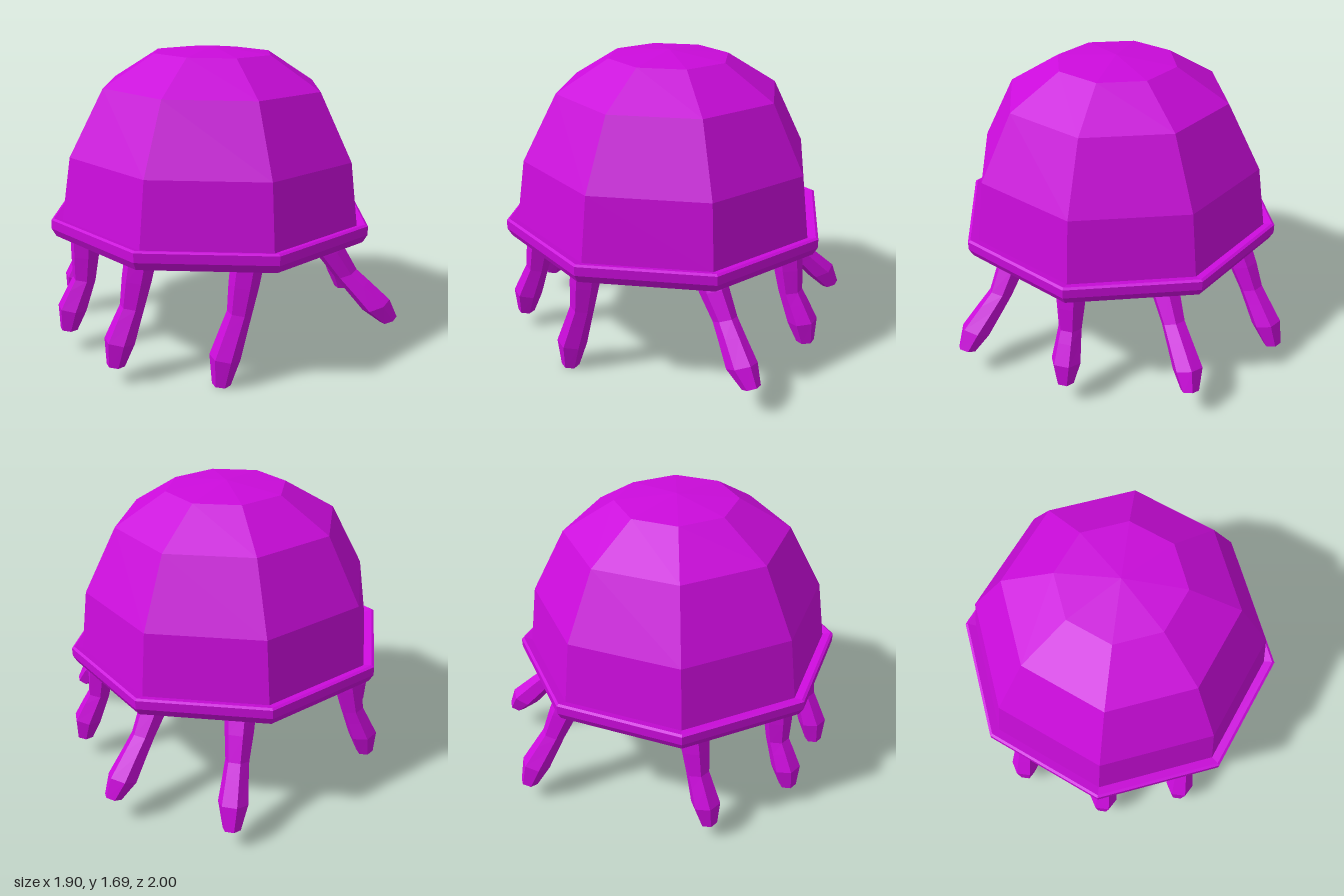
import * as THREE from 'three';

const SIDES = 6;
const RADII = [0.088, 0.08, 0.066, 0.072, 0.083, 0.05];

// Each tentacle: root, knee, bulge and tip as [x, y, z]
const TENTACLES = {
  tentacleFront: [[-0.09, 0.7, 0.79], [-0.135, 0.4, 0.79], [-0.215, 0.16, 0.79], [-0.235, 0.005, 0.79]],
  tentacleFrontLeft: [[0.45, 0.7, 0.5], [0.62, 0.43, 0.57], [0.77, 0.25, 0.67], [0.84, 0.16, 0.7]],
  tentacleLeft: [[0.75, 0.7, 0.085], [0.79, 0.42, 0.085], [0.87, 0.25, 0.085], [0.895, 0.125, 0.085]],
  tentacleBackLeft: [[0.45, 0.7, -0.31], [0.6, 0.43, -0.44], [0.74, 0.25, -0.56], [0.8, 0.155, -0.59]],
  tentacleBack: [[0.1, 0.7, -0.67], [0.15, 0.43, -0.79], [0.2, 0.24, -0.9], [0.22, 0.11, -0.95]],
  tentacleBackRight: [[-0.58, 0.7, -0.41], [-0.64, 0.41, -0.43], [-0.715, 0.23, -0.44], [-0.74, 0.095, -0.44]],
  tentacleRight: [[-0.77, 0.7, 0.085], [-0.79, 0.42, 0.085], [-0.865, 0.25, 0.085], [-0.89, 0.125, 0.085]],
  tentacleFrontRight: [[-0.58, 0.7, 0.53], [-0.64, 0.41, 0.54], [-0.715, 0.23, 0.55], [-0.74, 0.095, 0.55]],
};

// Loft of hexagonal rings along the tentacle, closed by a flat tip
function tentacleGeometry(points) {
  const [root, knee, bulge, tip] = points.map((p) => new THREE.Vector3(...p));
  const path = [
    root, root.clone().lerp(knee, 0.5), knee,
    knee.clone().lerp(bulge, 0.4), bulge, tip,
  ];
  const down = new THREE.Vector3(0, -1, 0);
  const positions = [];
  const indices = [];
  path.forEach((p, i) => {
    const tangent = path[Math.min(i + 1, path.length - 1)].clone()
      .sub(path[Math.max(i - 1, 0)]).normalize();
    const turn = new THREE.Quaternion().slerp(
      new THREE.Quaternion().setFromUnitVectors(down, tangent), 0.6);
    for (let s = 0; s < SIDES; s++) {
      const a = (s / SIDES) * Math.PI * 2;
      const v = new THREE.Vector3(Math.sin(a), 0, Math.cos(a))
        .multiplyScalar(RADII[i]);
      if (i > 0) v.applyQuaternion(turn);
      v.add(p);
      positions.push(v.x, v.y, v.z);
    }
  });
  for (let i = 0; i < path.length - 1; i++) {
    for (let s = 0; s < SIDES; s++) {
      const a = i * SIDES + s;
      const b = i * SIDES + ((s + 1) % SIDES);
      indices.push(a, a + SIDES, b, b, a + SIDES, b + SIDES);
    }
  }
  const last = (path.length - 1) * SIDES;
  for (let s = 1; s < SIDES - 1; s++) indices.push(last, last + s + 1, last + s);
  const geometry = new THREE.BufferGeometry();
  geometry.setAttribute('position', new THREE.Float32BufferAttribute(positions, 3));
  geometry.setIndex(indices);
  geometry.computeVertexNormals();
  return geometry;
}

export function createModel() {
  const model = new THREE.Group();
  model.name = 'jellyfish';
  const magenta = new THREE.MeshStandardMaterial({ color: 0xcb0bdb, flatShading: true });
  magenta.name = 'magenta';

  const addPart = (parent, name, geometry) => {
    const mesh = new THREE.Mesh(geometry, magenta);
    mesh.name = name;
    parent.add(mesh);
  };
  const octagonal = (profile) => new THREE.LatheGeometry(
    profile.map(([r, y]) => new THREE.Vector2(r, y)), 8);

  // Bell: faceted dome on a raised rim with a flat underside, leaning slightly
  const bell = new THREE.Group();
  bell.name = 'bell';
  bell.position.set(-0.025, 0, 0.065);
  bell.rotation.z = -0.014;
  model.add(bell);
  addPart(bell, 'dome', octagonal([
    [0.878, 0.755], [0.828, 1.11], [0.636, 1.48], [0.344, 1.66], [0, 1.695],
  ]));
  addPart(bell, 'rim', octagonal([
    [0, 0.67], [0.915, 0.67], [0.94, 0.715], [0.94, 0.765], [0.925, 0.773], [0.87, 0.758],
  ]));

  // Ring of tentacles
  for (const [name, points] of Object.entries(TENTACLES)) {
    addPart(model, name, tentacleGeometry(points));
  }
  return model;
}
